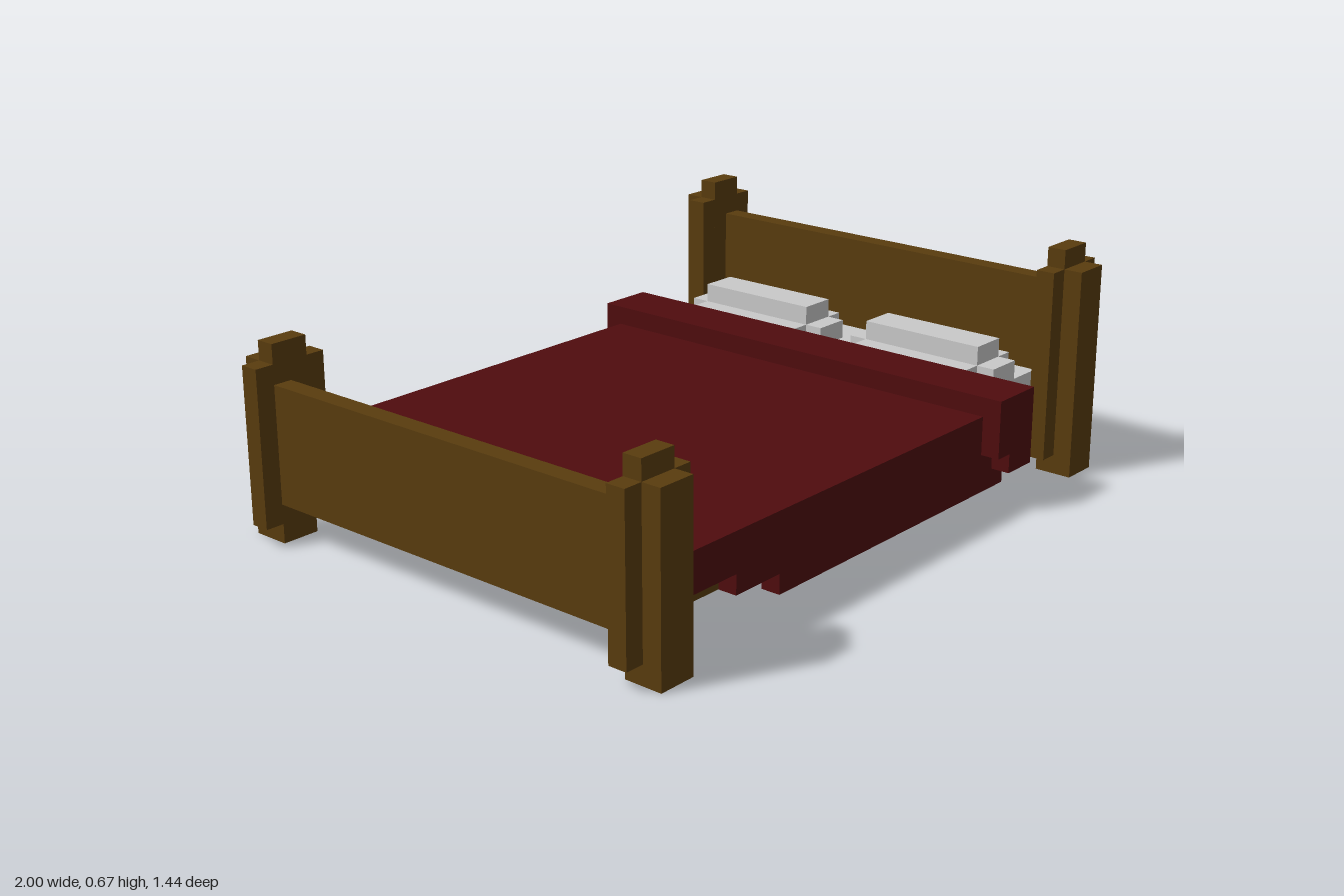
import * as THREE from 'three';

const U = 1 / 18; // one block of the grid

export function createModel() {
  const bed = new THREE.Group();
  bed.name = 'bed';

  const makeMaterial = (name, color) => {
    const m = new THREE.MeshStandardMaterial({ color });
    m.name = name;
    return m;
  };
  const wood = makeMaterial('wood', 0x593c0e);
  const red = makeMaterial('redBlanket', 0x4f0c0e);
  const linen = makeMaterial('linen', 0xc9c9c9);

  // Box given by its limits in grid blocks
  function block(parent, name, material, [x0, x1], [y0, y1], [z0, z1]) {
    const geometry = new THREE.BoxGeometry((x1 - x0) * U, (y1 - y0) * U, (z1 - z0) * U);
    const mesh = new THREE.Mesh(geometry, material);
    mesh.name = name;
    mesh.position.set((x0 + x1) * U / 2, (y0 + y1) * U / 2, (z0 + z1) * U / 2);
    parent.add(mesh);
  }
  const side = (s, a, b) => (s > 0 ? [a, b] : [-b, -a]);

  function part(name) {
    const group = new THREE.Group();
    group.name = name;
    bed.add(group);
    return group;
  }

  // Frame, end boards and mattress
  block(bed, 'frame', wood, [-16, 16], [2, 4], [-11, 11]);
  block(bed, 'headboard', wood, [16, 17], [2, 10], [-11, 11]);
  block(bed, 'footboard', wood, [-17, -16], [2, 8], [-11, 11]);
  block(bed, 'sheet', linen, [11, 16], [4, 5], [-10, 10]);

  // Blanket top and the raised fold near the pillows
  const blanket = part('blanket');
  block(blanket, 'blanketTop', red, [-16, 11], [4, 5], [-11, 11]);
  block(blanket, 'foldTop', red, [8, 11], [5, 6], [-13, 13]);

  for (const s of [1, -1]) {
    // Stepped flaps hanging over the sides
    block(blanket, 'flapUpper', red, [-14, 11], [3, 5], side(s, 11, 12));
    block(blanket, 'flapMiddle', red, [-11, 11], [2, 3], side(s, 11, 12));
    block(blanket, 'flapLower', red, [-8, 10], [1, 2], side(s, 11, 12));
    block(blanket, 'foldSide', red, [8, 11], [3, 5], side(s, 12, 13));
    block(blanket, 'foldSideLower', red, [9, 11], [2, 3], side(s, 12, 13));

    // Pillow with a raised middle and narrow ends
    const pillow = part('pillow');
    block(pillow, 'pillowBody', linen, [11, 15], [5, 6], side(s, 2, 9));
    block(pillow, 'pillowTop', linen, [12, 14], [6, 7], side(s, 2, 9));
    block(pillow, 'pillowInnerEnd', linen, [12, 14], [5, 6], side(s, 1, 2));
    block(pillow, 'pillowOuterEnd', linen, [12, 14], [5, 6], side(s, 9, 10));

    // Corner posts: core, side wings and cap
    for (const [name, x, top] of [['headPost', 16, 11], ['footPost', -16, 9]]) {
      const post = part(name);
      block(post, 'postCore', wood, [x - 1, x + 1], [0, top], side(s, 11, 13));
      block(post, 'postWingLeft', wood, [x + 1, x + 2], [1, top], side(s, 11, 12));
      block(post, 'postWingRight', wood, [x - 2, x - 1], [1, top], side(s, 11, 12));
      block(post, 'postCap', wood, [x - 1, x + 1], [top, top + 1], side(s, 11, 12));
    }
  }
  return bed;
}
